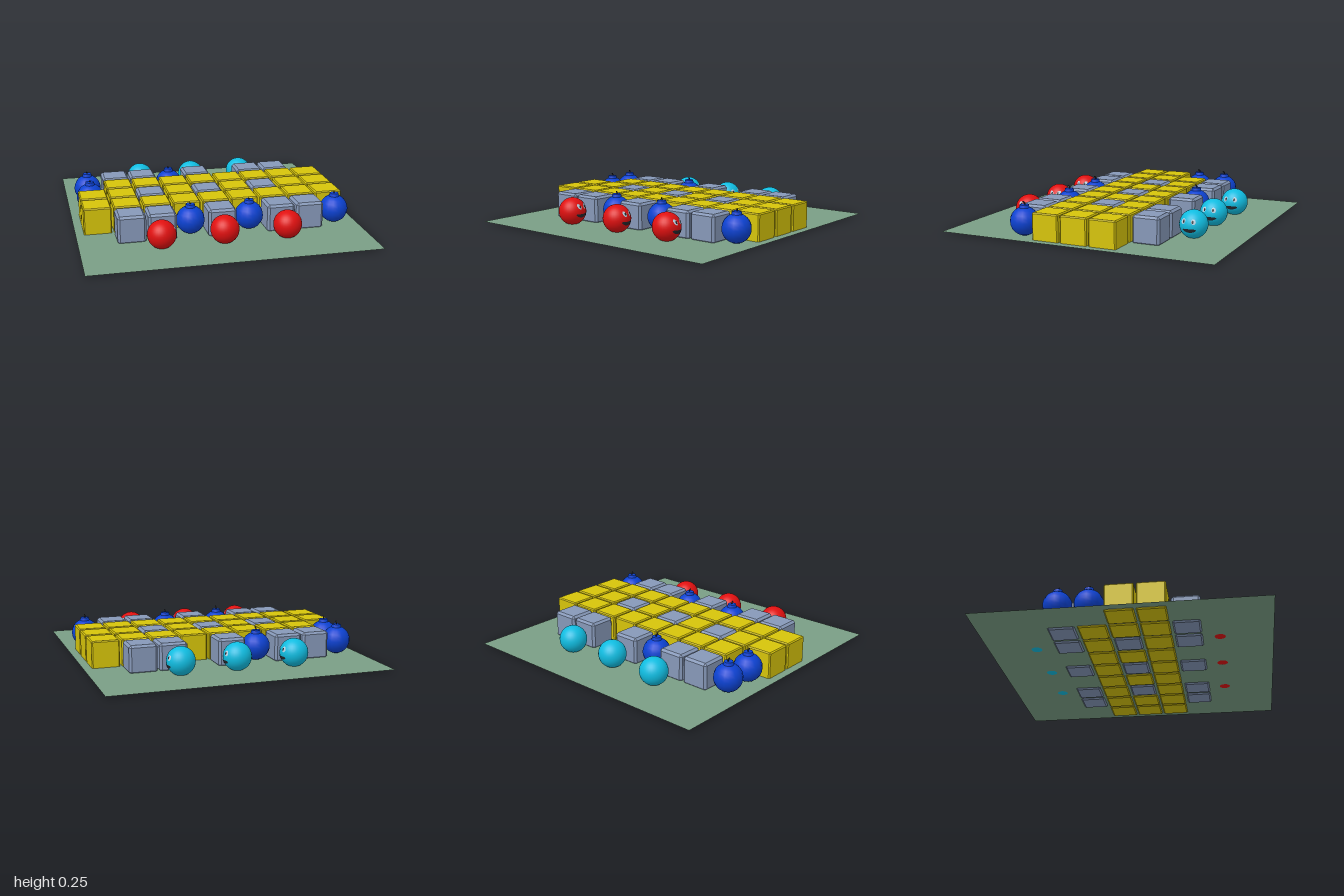
import * as THREE from 'three';
import { ConvexGeometry } from 'three/addons/geometries/ConvexGeometry.js';

const mat = (name, color, side = THREE.FrontSide) => {
  const m = new THREE.MeshStandardMaterial({ color, side });
  m.name = name;
  return m;
};

// Cube with flat chamfers on every edge
function chamferBox(w, h, c) {
  const pts = [];
  for (const x of [-1, 1]) for (const y of [-1, 1]) for (const z of [-1, 1]) {
    const a = w / 2, b = h / 2;
    pts.push(
      new THREE.Vector3(x * a, y * (b - c), z * (a - c)),
      new THREE.Vector3(x * (a - c), y * b, z * (a - c)),
      new THREE.Vector3(x * (a - c), y * (b - c), z * a));
  }
  return new ConvexGeometry(pts);
}

// Thin oval laid onto a ball, facing +x; bend lifts its ends, slope tilts it
function facePatch(radius, cu, cv, w, h, slope = 0, bend = 0) {
  const geo = new THREE.PlaneGeometry(2, 2, 10, 4);
  const p = geo.attributes.position;
  for (let i = 0; i < p.count; i++) {
    const u = p.getX(i), v = p.getY(i);
    const z = -(cu + u * w);
    const y = cv + v * h * Math.sqrt(Math.max(0, 1 - u * u)) + slope * u + bend * u * u;
    p.setXYZ(i, Math.sqrt(radius * radius - y * y - z * z), y, z);
  }
  geo.computeVertexNormals();
  return geo;
}

export function createModel() {
  const root = new THREE.Group();
  root.name = 'boardArena';

  const ground = mat('ground green', 0x7a9e85, THREE.DoubleSide);
  const yellow = mat('crate yellow', 0xd6c40a);
  const grey = mat('block grey blue', 0x8698b8);
  const blue = mat('bomb blue', 0x0c42d2);
  const red = mat('ball red', 0xe01010);
  const cyan = mat('ball cyan', 0x10bce0);
  const dark = mat('fuse and mouth dark', 0x22262c);
  const white = mat('eye pale', 0xb8d0e0);

  const add = (parent, name, geo, material, x = 0, y = 0, z = 0) => {
    const m = new THREE.Mesh(geo, material);
    m.name = name;
    m.position.set(x, y, z);
    parent.add(m);
    return m;
  };

  // Floor sheet
  add(root, 'ground', new THREE.PlaneGeometry(2, 2).rotateX(-Math.PI / 2), ground, 0, 0.018, 0);

  // Rows of cubes: Y yellow crate, G grey block, B bomb
  const crateGeo = chamferBox(0.196, 0.199, 0.008);
  const blockGeo = chamferBox(0.198, 0.199, 0.016);
  const bombGeo = new THREE.SphereGeometry(0.1, 16, 12);
  const neckGeo = new THREE.CylinderGeometry(0.031, 0.038, 0.03, 16);
  const fuseGeo = new THREE.TubeGeometry(new THREE.CatmullRomCurve3([
    new THREE.Vector3(0, 0.105, 0), new THREE.Vector3(0, 0.122, -0.004),
    new THREE.Vector3(0, 0.13, 0.002), new THREE.Vector3(0, 0.133, 0.011),
  ]), 8, 0.005, 6);

  const rows = [
    'BGGBG.GG.',
    'BYYYYYYYY',
    'YYGYGYGYY',
    'YYYYYYYYY',
    '.GGBGBGGB',
  ];
  rows.forEach((row, r) => [...row].forEach((kind, i) => {
    const x = (i - 4) * 0.2107, z = (r - 2) * 0.2115;
    if (kind === 'Y') add(root, 'crate', crateGeo, yellow, x, 0.107, z);
    if (kind === 'G') add(root, 'block', blockGeo, grey, x, 0.107, z);
    if (kind === 'B') {
      const bomb = new THREE.Group();
      bomb.name = 'bomb';
      bomb.position.set(x, 0.118, z);
      add(bomb, 'bombBody', bombGeo, blue);
      add(bomb, 'bombNeck', neckGeo, blue, 0, 0.099, 0);
      add(bomb, 'bombFuse', fuseGeo, dark);
      root.add(bomb);
    }
  }));

  // Balls with faces turned towards +x
  const ballGeo = new THREE.SphereGeometry(0.099, 32, 20);
  function ball(name, material, x, z, f) {
    const g = new THREE.Group();
    g.name = name;
    g.position.set(x, 0.109, z);
    add(g, 'ballBody', ballGeo, material);
    for (const s of [-1, 1]) {
      const cu = f.shift + s * f.gap;
      add(g, 'eye', facePatch(0.1005, cu, f.eyeY, 0.016, 0.018, s * f.tilt), white);
      add(g, 'pupil', facePatch(0.102, cu - s * 0.004, f.eyeY, 0.007, 0.01), dark);
    }
    add(g, 'mouth', facePatch(0.101, f.mouthU, f.mouthY, 0.048, 0.013, 0, f.bend), dark);
    root.add(g);
  }
  const redFace = { shift: 0.01, gap: 0.027, eyeY: 0.042, tilt: 0.006, mouthU: 0, mouthY: -0.024, bend: 0.012 };
  const cyanFace = { shift: -0.006, gap: 0.036, eyeY: 0.033, tilt: -0.004, mouthU: 0.002, mouthY: -0.029, bend: 0.006 };
  for (const x of [-0.45, -0.015, 0.43]) ball('redBall', red, x, 0.635, redFace);
  for (const [x, z] of [[-0.4, -0.66], [0.01, -0.64], [0.41, -0.64]]) ball('cyanBall', cyan, x, z, cyanFace);

  return root;
}
